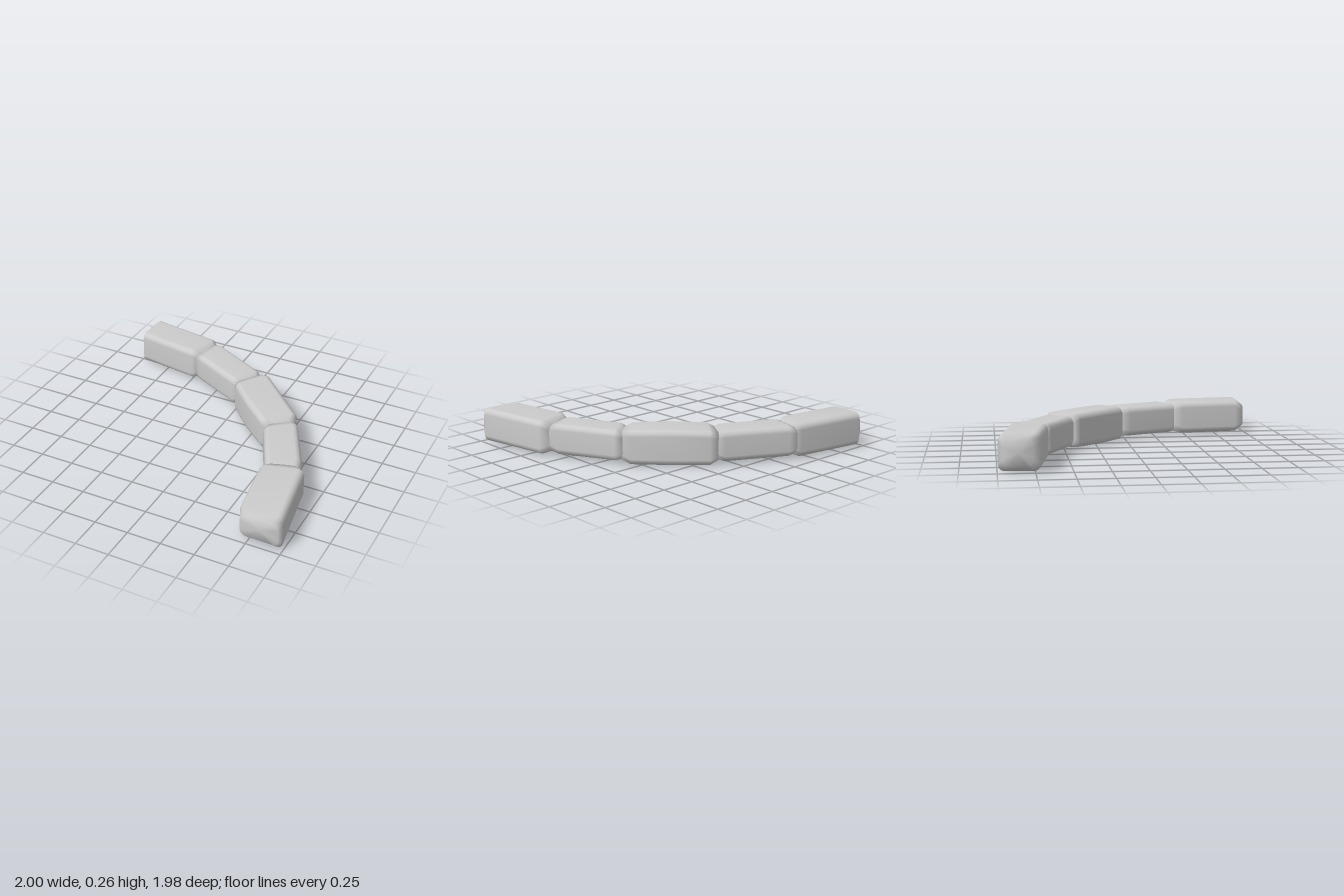
import * as THREE from 'three';

// Each block: bottom, top, then stations along the arc.
// Station: outer x, z, inner x, z, vertical inset.
const BLOCKS = [
  { name: 'leftEndBlock', y0: 0.01, y1: 0.258, stations: [
    [-1.0, -0.965, -1.0, -0.765, 0.04], [-0.955, -0.995, -0.97, -0.712, 0],
    [-0.425, -0.91, -0.51, -0.642, 0], [-0.37, -0.86, -0.43, -0.655, 0.025]] },
  { name: 'leftLinkBlock', y0: 0.02, y1: 0.246, stations: [
    [-0.41, -0.89, -0.47, -0.64, 0.015], [-0.34, -0.873, -0.41, -0.615, 0],
    [0.085, -0.655, -0.05, -0.44, 0], [0.125, -0.6, 0.01, -0.425, 0.02]] },
  { name: 'middleBlock', y0: 0.0, y1: 0.26, stations: [
    [0.11, -0.615, -0.012, -0.42, 0.025], [0.19, -0.612, 0.012, -0.378, 0.004],
    [0.385, -0.415, 0.2, -0.185, 0],
    [0.585, -0.22, 0.38, -0.03, 0.004], [0.602, -0.14, 0.44, -0.015, 0.025]] },
  { name: 'rightLinkBlock', y0: 0.02, y1: 0.246, stations: [
    [0.595, -0.16, 0.428, -0.03, 0.015], [0.64, -0.115, 0.437, 0.045, 0],
    [0.84, 0.28, 0.61, 0.4, 0], [0.855, 0.37, 0.65, 0.45, 0.02]] },
  { name: 'rightEndBlock', y0: 0.01, y1: 0.258, stations: [
    [0.845, 0.345, 0.622, 0.41, 0.025], [0.907, 0.4, 0.607, 0.485, 0],
    [0.996, 0.95, 0.672, 0.92, 0], [0.975, 0.988, 0.7, 0.985, 0.04]] },
];

// Rounded rectangle cross-section spanning one station
function sectionPoints([ox, oz, ix, iz, inset], y0, y1) {
  const mid = new THREE.Vector3((ox + ix) / 2, (y0 + y1) / 2, (oz + iz) / 2);
  const across = new THREE.Vector3(ix - ox, 0, iz - oz);
  const halfW = across.length() / 2, halfH = (y1 - y0) / 2 - inset, r = 0.045;
  across.normalize();
  const points = [];
  for (let corner = 0; corner < 4; corner++) {
    const su = corner === 0 || corner === 3 ? 1 : -1, sy = corner < 2 ? 1 : -1;
    for (let k = 0; k < 4; k++) {
      const a = (corner + k / 3) * Math.PI / 2;
      const p = mid.clone().addScaledVector(across, su * (halfW - r) + r * Math.cos(a));
      p.y += sy * (halfH - r) + r * Math.sin(a);
      points.push(p);
    }
  }
  return { mid, points };
}

// Loft the cross-sections and close both ends
function blockGeometry({ y0, y1, stations }) {
  const sections = stations.map((s) => sectionPoints(s, y0, y1));
  const n = sections[0].points.length, last = sections.length - 1;
  const vertices = sections.flatMap((s) => s.points);
  const startCap = vertices.push(sections[0].mid) - 1;
  const endCap = vertices.push(sections[last].mid) - 1;
  const index = [];
  for (let j = 0; j < n; j++) {
    const k = (j + 1) % n;
    for (let i = 0; i < last; i++) {
      const a = i * n + j, b = i * n + k;
      index.push(a, a + n, b, b, a + n, b + n);
    }
    index.push(startCap, j, k, endCap, last * n + k, last * n + j);
  }
  const geometry = new THREE.BufferGeometry().setFromPoints(vertices);
  geometry.setIndex(index);
  geometry.computeVertexNormals();
  return geometry;
}

export function createModel() {
  const model = new THREE.Group();
  model.name = 'curvedBlockBorder';
  const material = new THREE.MeshStandardMaterial({ color: 0xcccccc });
  for (const block of BLOCKS) {
    const mesh = new THREE.Mesh(blockGeometry(block), material);
    mesh.name = block.name;
    model.add(mesh);
  }
  return model;
}
